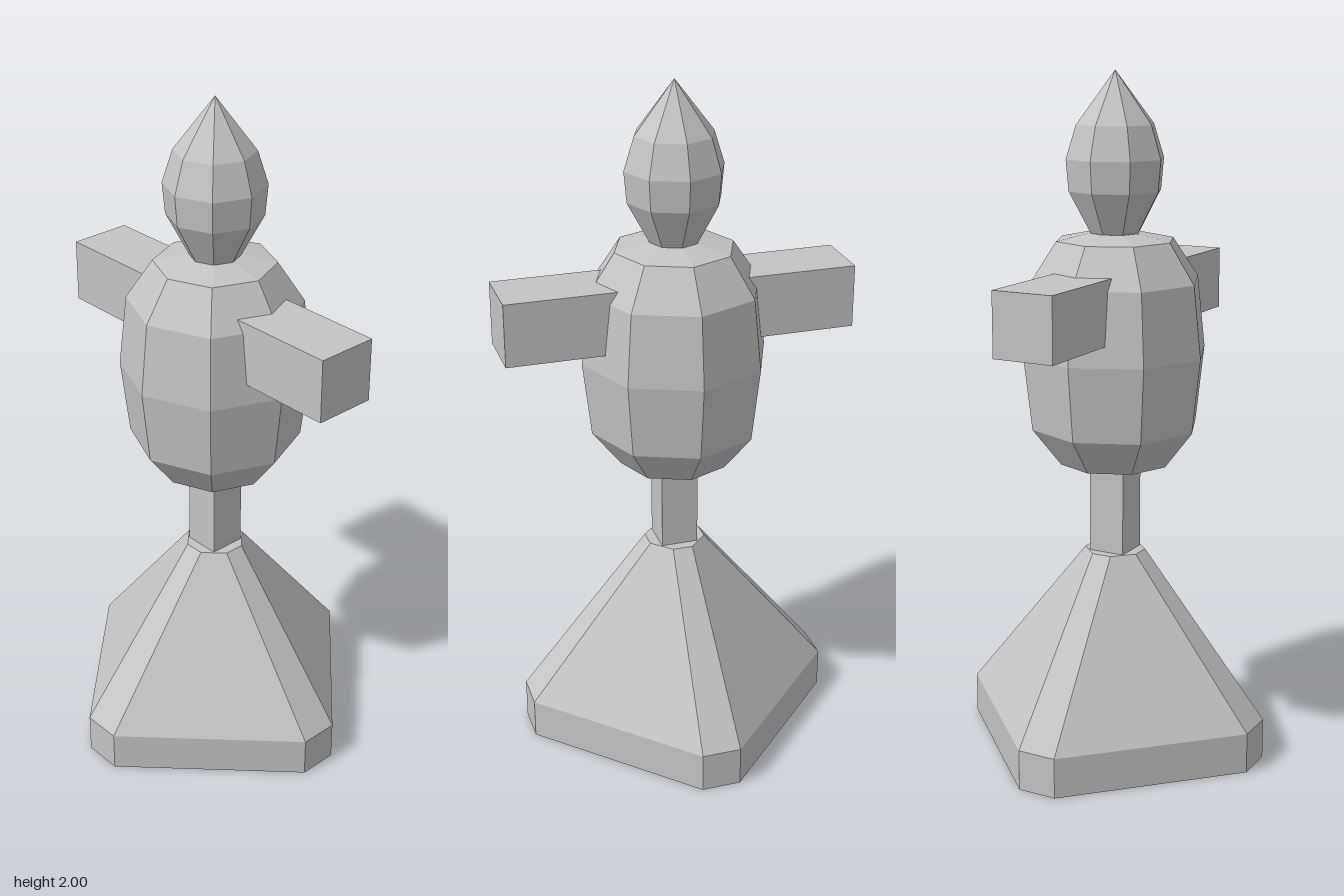
import * as THREE from 'three';

// Solid from stacked horizontal octagons with cut corners: [y, half width, half tip width]
function loftRings(levels) {
  const pos = [];
  const rings = levels.map(([y, w, c]) =>
    [[c, w], [w, c], [w, -c], [c, -w], [-c, -w], [-w, -c], [-w, c], [-c, w]].map(([x, z]) => [x, y, z]));
  const tri = (...corners) => corners.forEach((p) => pos.push(...p));
  const top = rings.length - 1;
  for (let i = 0; i < 8; i++) {
    const j = (i + 1) % 8;
    for (let k = 0; k < top; k++) {
      const lo = rings[k], hi = rings[k + 1];
      tri(lo[i], lo[j], hi[j]);
      tri(lo[i], hi[j], hi[i]);
    }
    tri([0, levels[0][0], 0], rings[0][j], rings[0][i]);
    tri([0, levels[top][0], 0], rings[top][i], rings[top][j]);
  }
  const geo = new THREE.BufferGeometry();
  geo.setAttribute('position', new THREE.Float32BufferAttribute(pos, 3));
  geo.computeVertexNormals();
  return geo;
}

// Eight-sided turned shape from [radius, y] points, bottom to top
const turned = (points) =>
  new THREE.LatheGeometry(points.map(([r, y]) => new THREE.Vector2(r, y)), 8);

export function createModel() {
  const group = new THREE.Group();
  const grey = new THREE.MeshStandardMaterial({ color: 0xc4c4c4, flatShading: true });
  grey.name = 'grey';

  const add = (name, geometry, x = 0, y = 0) => {
    const mesh = new THREE.Mesh(geometry, grey);
    mesh.name = name;
    mesh.position.set(x, y, 0);
    group.add(mesh);
  };

  // Foot: low plinth tapering up to the post
  add('base', loftRings([[0, 0.467, 0.058], [0.12, 0.467, 0.058], [0.6, 0.085, 0.03]]));
  add('post', new THREE.BoxGeometry(0.11, 0.32, 0.11), 0, 0.73);

  // Faceted body and pointed head
  add('body', turned([
    [0, 0.855], [0.09, 0.855], [0.165, 0.87], [0.25, 0.98], [0.275, 1.2],
    [0.252, 1.41], [0.175, 1.525], [0.08, 1.545], [0, 1.545],
  ]));
  add('head', turned([
    [0, 1.54], [0.07, 1.54], [0.137, 1.665], [0.145, 1.755], [0.115, 1.85], [0, 2],
  ]));

  // Square arms, reaching into the body
  for (const [name, side] of [['leftArm', 1], ['rightArm', -1]]) {
    add(name, new THREE.BoxGeometry(0.362, 0.185, 0.185), side * 0.331, 1.352);
  }

  return group;
}
